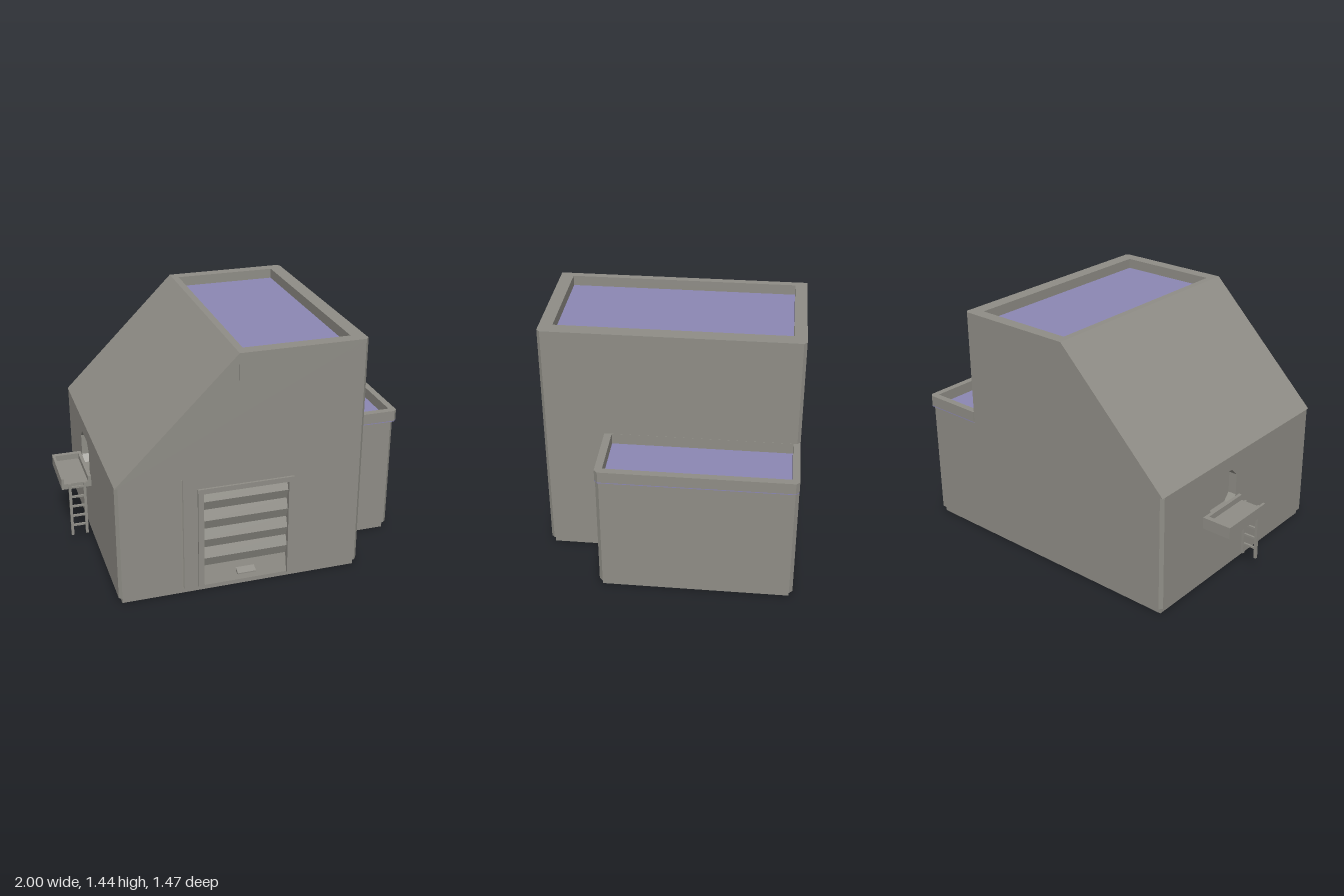
import * as THREE from 'three';

const grey = new THREE.MeshStandardMaterial({ color: 0x8f8d86 });
grey.name = 'concrete grey';
const violet = new THREE.MeshStandardMaterial({ color: 0x8c88b4, side: THREE.DoubleSide });
violet.name = 'roof violet';

const shapeOf = (pts) => new THREE.Shape(pts.map(([a, b]) => new THREE.Vector2(a, b)));
const rect = (a0, a1, b0, b1) => [[a0, b0], [a1, b0], [a1, b1], [a0, b1]];

export function createModel() {
  const model = new THREE.Group();

  function add(name, geometry, material = grey, parent = model) {
    const mesh = new THREE.Mesh(geometry, material);
    mesh.name = name;
    parent.add(mesh);
    return mesh;
  }
  // Box given by its limits
  function box(name, x0, x1, y0, y1, z0, z1, parent = model) {
    const g = new THREE.BoxGeometry(x1 - x0, y1 - y0, z1 - z0);
    g.translate((x0 + x1) / 2, (y0 + y1) / 2, (z0 + z1) / 2);
    return add(name, g, grey, parent);
  }
  // Plan outline of [x, z] points raised from y0 to y1
  function prism(name, plan, y0, y1, hole, material = grey) {
    const flip = (pts) => pts.map(([x, z]) => [x, -z]);
    const shape = shapeOf(flip(plan));
    if (hole) shape.holes.push(shapeOf(flip(hole)));
    const g = new THREE.ExtrudeGeometry(shape, { depth: y1 - y0, bevelEnabled: false });
    g.rotateX(-Math.PI / 2).translate(0, y0, 0);
    return add(name, g, material);
  }
  // Side outline of [z, y] points swept from x0 to x1
  function sideSweep(name, profile, x0, x1, hole) {
    const shape = shapeOf(profile);
    if (hole) shape.holes.push(shapeOf(hole));
    const g = new THREE.ExtrudeGeometry(shape, { depth: x1 - x0, bevelEnabled: false });
    g.rotateY(-Math.PI / 2).translate(x1, 0, 0);
    return add(name, g);
  }
  // Rectangle in plan with its two +x corners cut
  const cutPlan = (x0, x1, z0, z1, c) =>
    [[x0, z1], [x1 - c, z1], [x1, z1 - c], [x1, z0 + c], [x1 - c, z0], [x0, z0]];

  const L = -0.82, R = 0.622, B = -0.735, F = 0.71, C = 0.018;
  const EAVE = 0.74, TOP = 1.44;

  // Inset plinth
  prism('plinth', [[-0.8, 0.69], [0.604, 0.69], [0.604, 0.345], [0.955, 0.345],
    [0.955, -0.715], [-0.8, -0.715]], 0, 0.04);

  // Lower hall, with a pocket for the shutter
  const core = cutPlan(-0.77, R, B, F, C);
  const pocket = [[-0.325, F], [-0.325, 0.67], [0.175, 0.67], [0.175, F]];
  prism('lowerHall', [core[0], ...pocket, ...core.slice(1)], 0.04, 0.64);
  prism('lintelWall', core, 0.64, EAVE);

  // Left wall with an eight-sided doorway, corner posts with cut edges
  const doorway = [[-0.27, 0.425], [-0.09, 0.425], [-0.05, 0.47], [-0.05, 0.6],
    [-0.1, 0.65], [-0.25, 0.65], [-0.3, 0.6], [-0.3, 0.47]];
  sideSweep('leftWall', rect(B + C, F - C, 0.04, EAVE), L, -0.77, doorway);
  for (const [z, s] of [[F, 1], [B, -1]]) {
    prism('leftCornerPost', [[L, z - s * C], [L + C, z], [-0.77, z], [-0.77, z - s * C]], 0.04, EAVE);
  }

  // Upper hall with the sloping left roof, lofted between two plans
  const low = cutPlan(L, R, B, F, C), high = cutPlan(-0.12, R, B, F, C);
  const pos = [];
  for (let i = 0; i < 6; i++) {
    const j = (i + 1) % 6;
    const a = [low[i][0], EAVE, low[i][1]], b = [low[j][0], EAVE, low[j][1]];
    const c = [high[j][0], TOP, high[j][1]], d = [high[i][0], TOP, high[i][1]];
    pos.push(...a, ...b, ...c, ...a, ...c, ...d);
  }
  const hall = new THREE.BufferGeometry();
  hall.setAttribute('position', new THREE.Float32BufferAttribute(pos, 3));
  hall.computeVertexNormals();
  add('upperHall', hall);

  // Main roof rim and sunken roof surface
  prism('mainRoofRim', high, TOP - 0.06, TOP, rect(-0.08, 0.54, -0.665, 0.635));
  prism('mainRoofSurface', rect(-0.1, 0.56, -0.68, 0.65), TOP - 0.065, TOP - 0.06, null, violet);

  // Side annex with overhanging roof rim
  prism('annex', cutPlan(0.6, 0.978, B, 0.362, 0.02), 0.04, EAVE);
  const annexRim = cutPlan(0.61, 1, B, 0.362, 0.02);
  prism('annexRoofSurface', annexRim, EAVE, EAVE + 0.005, null, violet);
  prism('annexRoofRim', annexRim, EAVE + 0.005, 0.81, rect(0.623, 0.96, -0.695, 0.32));

  // Seams on the front wall
  prism('frontPanelRidge', [[-0.455, F], [-0.447, F + 0.004], [-0.44, F]], 0.04, EAVE);
  box('frontUpperSeam', -0.123, -0.119, 1.09, 1.43, F - 0.005, F + 0.002);

  // Shutter frame
  const frame = shapeOf([[-0.358, 0.04], [-0.325, 0.04], [-0.325, 0.638], [0.175, 0.638],
    [0.175, 0.04], [0.205, 0.04], [0.205, 0.668], [-0.358, 0.668]]);
  const frameGeo = new THREE.ExtrudeGeometry(frame, { depth: 0.03, bevelEnabled: false });
  add('shutterFrame', frameGeo.translate(0, 0, 0.693));

  // Folded shutter slats
  const slats = [[0.665, 0.04], [0.71, 0.04]];
  for (let i = 0; i <= 8; i++) slats.push([i % 2 ? 0.708 : 0.685, 0.155 + i * 0.0606]);
  slats.push([0.665, 0.64]);
  sideSweep('shutter', slats, -0.325, 0.175);
  sideSweep('shutterHandle', [[0.69, 0.115], [0.69, 0.09], [0.735, 0.09], [0.735, 0.097]], -0.13, -0.02);

  // Balcony tray on the left wall, open toward the ladder
  const balcony = new THREE.Group();
  balcony.name = 'balcony';
  model.add(balcony);
  box('balconyFloor', -1, L, 0.39, 0.425, -0.365, -0.015, balcony);
  box('balconyOuterRim', -1, -0.985, 0.425, 0.46, -0.365, -0.015, balcony);
  box('balconyInnerRim', -0.84, L, 0.425, 0.46, -0.365, -0.015, balcony);
  box('balconyBackRim', -0.985, -0.84, 0.425, 0.46, -0.365, -0.335, balcony);

  // Ladder
  const ladder = new THREE.Group();
  ladder.name = 'ladder';
  model.add(ladder);
  for (const x of [-0.952, -0.863]) box('ladderRail', x - 0.008, x + 0.008, 0.075, 0.425, -0.02, -0.004, ladder);
  for (let i = 0; i < 5; i++) {
    const y = 0.14 + i * 0.065;
    box('ladderRung', -0.95, -0.865, y - 0.006, y + 0.006, -0.018, -0.006, ladder);
  }
  return model;
}
